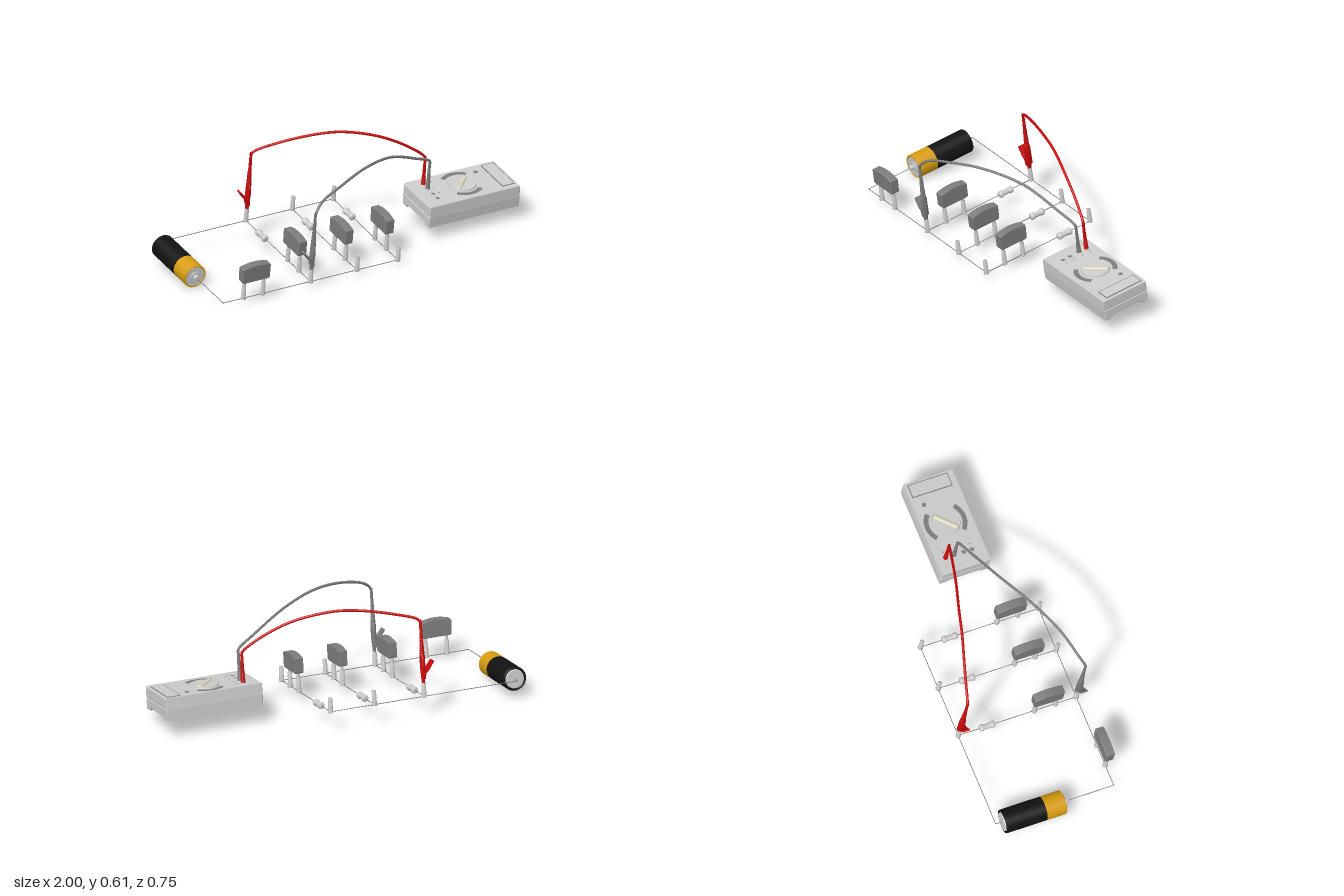
import * as THREE from 'three';

const mat = (color = 0xcccccc) => new THREE.MeshStandardMaterial({ color });
const GREY = mat(), DARK = mat(0x7c7c7c), BLACK = mat(0x121212), GOLD = mat(0xd79c10),
  RED = mat(0xcc0a0a), CREAM = mat(0xd6d2bc);
const V = (x, y, z) => new THREE.Vector3(x, y, z);

function add(parent, name, geo, material, x = 0, y = 0, z = 0) {
  const m = new THREE.Mesh(geo, material);
  m.name = name;
  m.position.set(x, y, z);
  parent.add(m);
  return m;
}

// cylinder between two points
function rod(parent, name, a, b, r, material, r2 = r, sides = 20) {
  const m = add(parent, name, new THREE.CylinderGeometry(r2, r, a.distanceTo(b), sides), material);
  m.position.copy(a).lerp(b, 0.5);
  m.quaternion.setFromUnitVectors(V(0, 1, 0), b.clone().sub(a).normalize());
  return m;
}

// turned part standing on its own y axis, profile given as [radius, height]
const turned = (pts, sides = 16) =>
  new THREE.LatheGeometry(pts.map(p => new THREE.Vector2(...p)), sides);

// ring of grip ridges for cable boots
function ridges(y0, y1, r0, r1, n) {
  const pts = [];
  for (let i = 0; i < n; i++) {
    const t = i / n, y = y0 + (y1 - y0) * t, s = (y1 - y0) / n, r = r0 + (r1 - r0) * t;
    pts.push([r, y], [r, y + s * 0.6], [r * 0.82, y + s * 0.65], [r * 0.82, y + s * 0.97]);
  }
  return pts;
}

const post = (g, x, z) => add(g, 'post', turned(
  [[0, -0.004], [0.015, -0.004], [0.015, 0], [0.013, 0.002], [0.0115, 0.077], [0, 0.077]]), GREY, x, 0, z);

// plug-in component: curved-top block on two prongs
function plugBlock(parent, x, z, turn) {
  const g = new THREE.Group();
  g.name = 'plugInBlock';
  const s = new THREE.Shape();
  s.moveTo(-0.072, 0.108);
  s.lineTo(0.072, 0.108);
  s.quadraticCurveTo(0.08, 0.108, 0.08, 0.116);
  s.lineTo(0.081, 0.186);
  s.quadraticCurveTo(0, 0.212, -0.081, 0.186);
  s.lineTo(-0.08, 0.116);
  s.quadraticCurveTo(-0.08, 0.108, -0.072, 0.108);
  add(g, 'block', new THREE.ExtrudeGeometry(s, {
    depth: 0.04, bevelEnabled: true, bevelSize: 0.004, bevelThickness: 0.004, bevelSegments: 2, curveSegments: 14
  }), DARK, 0, 0, -0.02);
  for (const k of [-0.06, 0.06]) {
    post(g, k, 0);
    rod(g, 'prong', V(k, 0.07, 0), V(k, 0.115, 0), 0.0085, GREY);
  }
  g.position.set(x, 0, z);
  g.rotation.y = turn;
  parent.add(g);
}

// crocodile clip with a sprung lever on its -x side
function clip(parent, x, z, material) {
  const g = new THREE.Group();
  g.name = 'crocodileClip';
  const nose = add(g, 'jaw', turned([[0, 0.06], [0.011, 0.06], [0.012, 0.08], [0.02, 0.16],
    [0.019, 0.21], [0.013, 0.23], [0, 0.23]], 12), material);
  nose.scale.x = 0.7;
  add(g, 'boot', turned([[0.013, 0.2], [0.015, 0.225], ...ridges(0.225, 0.325, 0.0135, 0.01, 7),
    [0.009, 0.33], [0.007, 0.425], [0, 0.425]], 12), material);
  // folded lever plate
  const s = new THREE.Shape([[-0.006, 0.1], [0.006, 0.1], [0.004, 0.14], [-0.022, 0.155], [-0.053, 0.197],
    [-0.06, 0.192], [-0.03, 0.148], [-0.012, 0.13]].map(p => new THREE.Vector2(...p)));
  add(g, 'lever', new THREE.ExtrudeGeometry(s, { depth: 0.04, bevelEnabled: false }), material, 0, 0, -0.02);
  g.position.set(x, 0, z);
  parent.add(g);
}

function battery(parent) {
  const g = new THREE.Group();
  g.name = 'battery';
  const R = 0.066, c = z => V(0, 0, z);
  rod(g, 'goldSleeve', c(-0.092), c(0.018), R, GOLD, R, 40);
  rod(g, 'blackSleeve', c(-0.322), c(-0.092), R, BLACK, R, 40);
  add(g, 'goldRim', new THREE.TorusGeometry(0.061, 0.005, 8, 40), GOLD, 0, 0, 0.018);
  add(g, 'blackRim', new THREE.TorusGeometry(0.061, 0.005, 8, 40), BLACK, 0, 0, -0.322);
  rod(g, 'positiveEnd', c(0.015), c(0.0205), 0.056, GREY, 0.056, 40);
  rod(g, 'positiveStep', c(0.02), c(0.024), 0.03, GREY, 0.028, 32);
  rod(g, 'positiveNub', c(0.02), c(0.046), 0.0145, GREY, 0.0135);
  rod(g, 'negativeEnd', c(-0.32), c(-0.33), 0.054, GREY, 0.05, 40);
  g.position.x = -0.932;
  parent.add(g);
}

// closed outline in (z, y), swept along x
function sweep(parent, name, pts, x0, x1, bevel, material) {
  const s = new THREE.Shape(pts.map(([z, y]) => new THREE.Vector2(-z, y)));
  const m = add(parent, name, new THREE.ExtrudeGeometry(s, {
    depth: x1 - x0 - 2 * bevel, bevelEnabled: true, bevelSize: bevel, bevelThickness: bevel,
    bevelOffset: -bevel, bevelSegments: 3
  }), material, x0 + bevel);
  m.rotation.y = Math.PI / 2;
}

function meter(parent) {
  const g = new THREE.Group();
  g.name = 'multimeter';
  const X0 = 0.442, X1 = 1, top = 0.15, cx = 0.722, cz = -0.008;
  sweep(g, 'upperCase', [[-0.143, 0.09], [0.143, 0.09], [0.141, 0.15], [-0.141, 0.15]], X0, X1, 0.007, GREY);
  sweep(g, 'lowerCase', [[-0.139, 0.024], [-0.098, 0.024], [-0.088, 0.039], [0.088, 0.039], [0.098, 0.024],
    [0.139, 0.024], [0.143, 0.089], [-0.143, 0.089]], X0, X1, 0.006, GREY);
  add(g, 'seam', new THREE.BoxGeometry(0.548, 0.02, 0.276), DARK, 0.721, 0.0895, 0);
  add(g, 'batteryCover', new THREE.BoxGeometry(0.22, 0.006, 0.13), GREY, 0.8, 0.037, 0);
  // selector dial
  add(g, 'dial', new THREE.CylinderGeometry(0.077, 0.08, 0.009, 48), GREY, cx, top + 0.0035, cz);
  const knob = add(g, 'selectorKnob', new THREE.CapsuleGeometry(0.014, 0.12, 6, 12), CREAM, cx, top + 0.008, cz);
  knob.rotation.set(Math.PI / 2, 0, -Math.PI / 4, 'YXZ');
  knob.rotation.y = -Math.PI / 4;
  knob.rotation.z = 0;
  knob.scale.z = 0.6;
  // scale bands above and below the dial
  for (const mid of [Math.PI / 2, -Math.PI / 2]) {
    const arc = add(g, 'scaleBand', new THREE.RingGeometry(0.092, 0.118, 32, 1, mid - 0.75, 1.5), DARK, cx, top + 0.001, cz);
    arc.rotation.x = -Math.PI / 2;
  }
  // display window
  add(g, 'displayFrame', new THREE.BoxGeometry(0.078, 0.004, 0.232), DARK, 0.946, top, -0.008);
  add(g, 'displayWindow', new THREE.BoxGeometry(0.068, 0.004, 0.222), GREY, 0.946, top + 0.0012, -0.008);
  add(g, 'testSocket', new THREE.CylinderGeometry(0.012, 0.012, 0.004, 16), DARK, 0.852, top, -0.08);
  // sockets
  for (const z of [-0.086, -0.038, 0.02, 0.068]) {
    const ring = add(g, 'socketRing', new THREE.TorusGeometry(0.0135, 0.003, 8, 24), GREY, 0.53, top, z);
    ring.rotation.x = Math.PI / 2;
    add(g, 'socketHole', new THREE.CylinderGeometry(0.0125, 0.0125, 0.002, 20), DARK, 0.53, top, z);
  }
  for (const z of [-0.086, -0.038, 0.02, 0.068])
    add(g, 'socketMark', new THREE.BoxGeometry(0.007, 0.002, 0.007), DARK, 0.565, top, z);
  parent.add(g);
}

function plug(parent, z, material) {
  add(parent, 'leadPlug', turned([[0, 0.145], [0.0125, 0.145], [0.0125, 0.152],
    ...ridges(0.152, 0.205, 0.0125, 0.0105, 5), [0.0095, 0.206], [0.007, 0.325], [0, 0.325]]), material, 0.53, 0, z);
}

function cable(parent, name, pts, material) {
  const curve = new THREE.CatmullRomCurve3(pts.map(p => V(...p)), false, 'centripetal');
  add(parent, name, new THREE.TubeGeometry(curve, 60, 0.0072, 10), material);
}

export function createModel() {
  const root = new THREE.Group();
  root.name = 'circuitWithMeter';

  // everything stands on one gently tilted plane
  const board = new THREE.Group();
  board.name = 'circuit';
  board.position.y = 0.073;
  board.rotation.x = 0.1285;
  root.add(board);

  const front = 0.318, back = -0.365, left = -0.932, rails = [-0.392, -0.105, 0.148];
  const wire = (a, b) => rod(board, 'wire', V(a[0], 0, a[1]), V(b[0], 0, b[1]), 0.002, DARK, 0.002, 8);
  wire([left, front], [rails[2], front]);
  wire([left, back], [rails[2], back]);
  wire([left, 0.04], [left, front]);
  wire([left, -0.325], [left, back]);

  // each rail: two posts, a resistor and a plug-in block
  for (const x of rails) {
    wire([x, front], [x, back]);
    post(board, x, front);
    post(board, x, back);
    const r = add(board, 'resistor', turned([[0, -0.044], [0.013, -0.044], [0.0185, -0.039], [0.0195, -0.03],
      [0.0185, -0.023], [0.015, -0.018], [0.015, 0.018], [0.0185, 0.023], [0.0195, 0.03], [0.0185, 0.039],
      [0.013, 0.044], [0, 0.044]], 24), GREY, x, 0, -0.197);
    r.rotation.x = Math.PI / 2;
    plugBlock(board, x, 0.136, Math.PI / 2);
  }
  plugBlock(board, -0.748, front, 0);
  battery(board);
  meter(board);

  // test leads
  clip(board, rails[0], front, DARK);
  clip(board, rails[0], back, RED);
  plug(board, -0.038, DARK);
  plug(board, -0.086, RED);
  cable(root, 'darkCable', [[0.53, 0.37, 0.001], [0.53, 0.397, 0.005], [0.42, 0.455, 0.045], [0.22, 0.54, 0.12],
    [0, 0.57, 0.225], [-0.2, 0.545, 0.31], [-0.34, 0.5, 0.35], [-0.388, 0.455, 0.37], [-0.392, 0.43, 0.367]], DARK);
  cable(root, 'redCable', [[0.53, 0.37, -0.05], [0.53, 0.4, -0.046], [0.44, 0.475, -0.067], [0.28, 0.558, -0.107],
    [0.1, 0.605, -0.16], [-0.03, 0.612, -0.195], [-0.25, 0.582, -0.264], [-0.385, 0.541, -0.305],
    [-0.392, 0.515, -0.311]], RED);
  return root;
}
